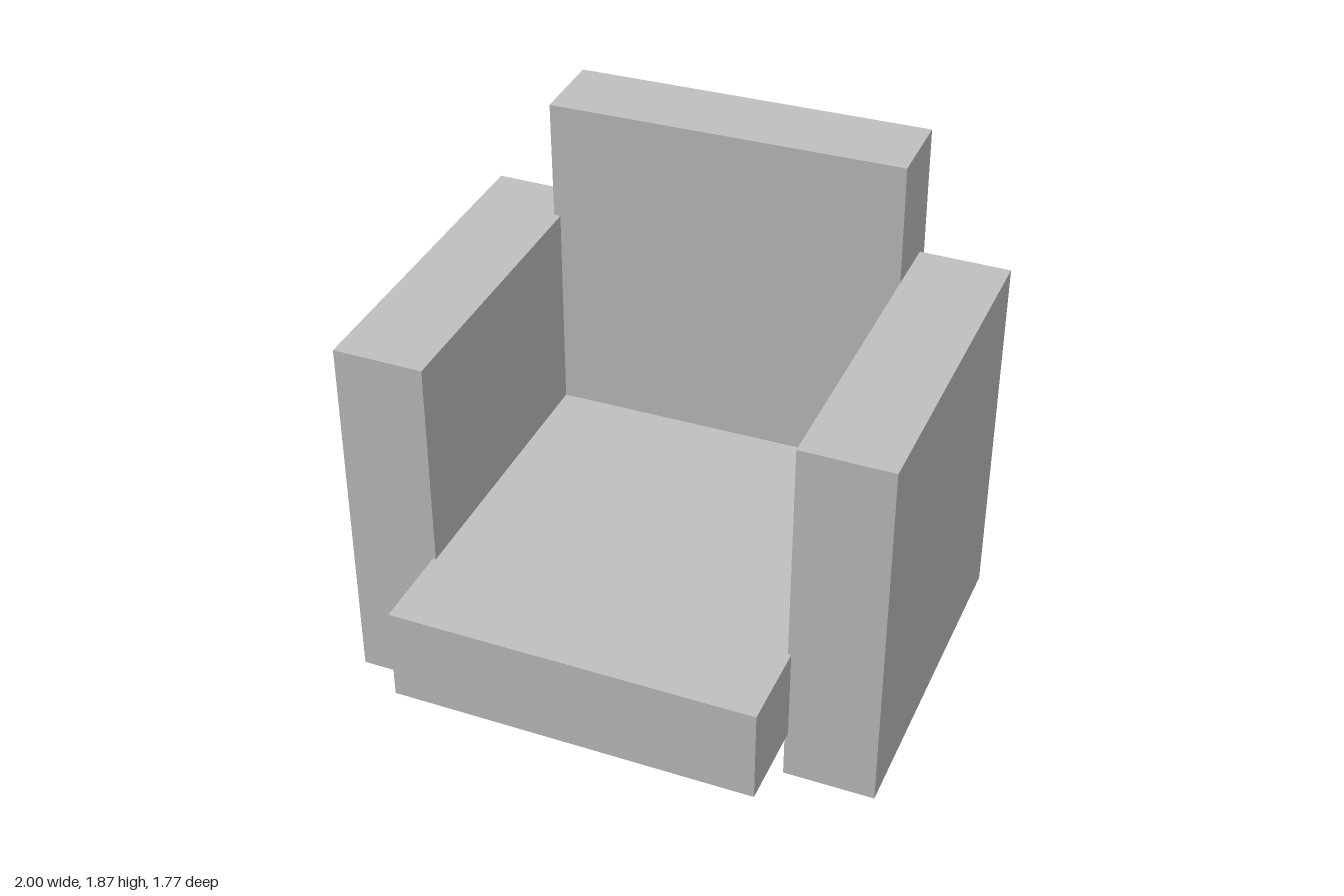
import * as THREE from 'three';

export function createModel() {
  const group = new THREE.Group();
  const grey = new THREE.MeshStandardMaterial({ color: 0xbfbfbf });
  grey.name = 'light grey';

  // box given by its size and centre
  const block = (name, size, centre) => {
    const mesh = new THREE.Mesh(new THREE.BoxGeometry(...size), grey);
    mesh.name = name;
    mesh.position.set(...centre);
    group.add(mesh);
    return mesh;
  };

  // seat cushion
  block('seat', [1.352, 0.36, 1.77], [0, 0.42, 0]);

  // arms, the left one set a little higher
  block('leftArm', [0.336, 1.4, 1.304], [0.832, 0.75, -0.1]);
  block('rightArm', [0.336, 1.4, 1.304], [-0.832, 0.705, -0.1]);

  // backrest, slightly askew and sunk into the seat
  const back = block('backrest', [1.337, 1.285, 0.303], [-0.021, 1.222, -0.722]);
  back.rotation.set(0, 0.015, 0.009);

  return group;
}
